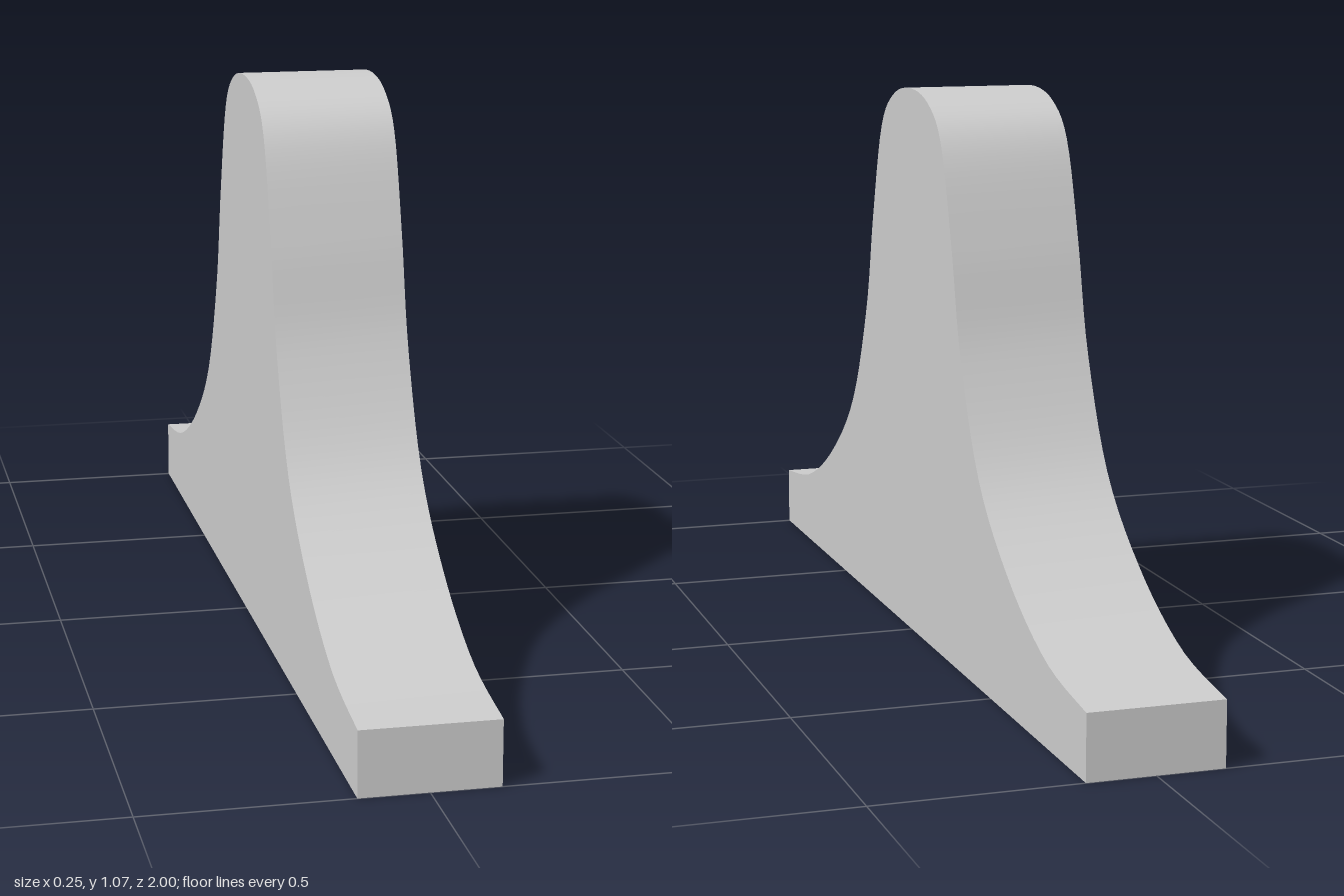
import * as THREE from 'three';
import { toCreasedNormals } from 'three/addons/utils/BufferGeometryUtils.js';

const WIDTH = 0.25;

// Half of the bell-shaped upper edge, from the outer end to the crest: [z, y]
const HALF_EDGE = [
  [1, 0.12], [0.8, 0.152], [0.6, 0.247], [0.43, 0.39], [0.32, 0.6],
  [0.265, 0.8], [0.2, 0.985], [0.115, 1.055],
];

export function createModel() {
  const group = new THREE.Group();
  group.name = 'bellBlock';

  // Upper edge mirrored about the crest
  const right = HALF_EDGE.map(([z, y]) => new THREE.Vector2(z, y));
  const left = HALF_EDGE.map(([z, y]) => new THREE.Vector2(-z, y)).reverse();
  const edge = [...right, new THREE.Vector2(0, 1.075), ...left];

  // Closed outline: flat base, short upright ends, curved top
  const outline = new THREE.Shape();
  outline.moveTo(-1, 0);
  outline.lineTo(1, 0);
  outline.lineTo(1, HALF_EDGE[0][1]);
  outline.splineThru(edge.slice(1));
  outline.lineTo(-1, 0);

  // Extrude across the width and turn the profile to run along z
  const geometry = new THREE.ExtrudeGeometry(outline, {
    depth: WIDTH, bevelEnabled: false, curveSegments: 5,
  });
  geometry.translate(0, 0, -WIDTH / 2);
  geometry.rotateY(-Math.PI / 2);

  const body = new THREE.Mesh(
    toCreasedNormals(geometry, 0.6),
    new THREE.MeshStandardMaterial({ color: 0xcccccc }),
  );
  body.name = 'bellProfileBody';
  group.add(body);
  return group;
}
